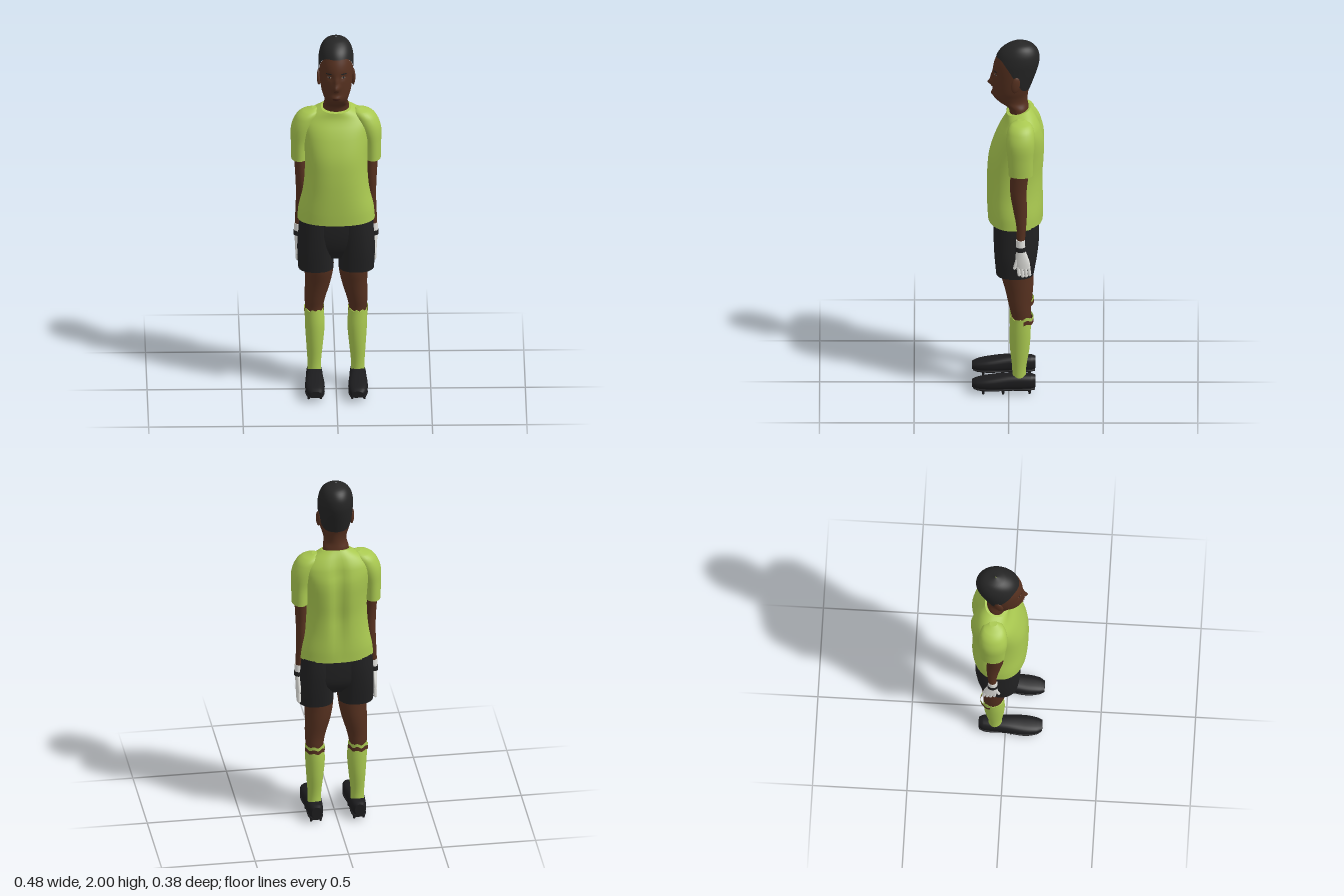
import * as THREE from 'three';

const mat = (name, color) => {
  const m = new THREE.MeshStandardMaterial({ color });
  m.name = name;
  return m;
};

// Smooth interpolation of rows [t, cx, cz, rx, rz] at t
function at(rows, t) {
  let i = 0;
  while (i < rows.length - 2 && t > rows[i + 1][0]) i++;
  const slope = (j, k) => {
    const p = rows[Math.max(j - 1, 0)], q = rows[Math.min(j + 1, rows.length - 1)];
    return (q[k] - p[k]) / (q[0] - p[0]);
  };
  const a = rows[i], b = rows[i + 1], h = b[0] - a[0];
  const s = Math.min(1, Math.max(0, (t - a[0]) / h)), s2 = s * s, s3 = s2 * s;
  return a.map((v, k) => k === 0 ? t :
    v * (2 * s3 - 3 * s2 + 1) + b[k] * (3 * s2 - 2 * s3) +
    h * (slope(i, k) * (s3 - 2 * s2 + s) + slope(i + 1, k) * (s3 - s2)));
}

// Point on a superellipse section; angle 0 faces the front
function ring(rows, t, angle, n = 2, grow = 0) {
  const [, cx, cz, rx, rz] = at(rows, t);
  const f = (v) => Math.sign(v) * Math.pow(Math.abs(v), 2 / n);
  return [cx + (Math.max(rx, 0) + grow) * f(Math.sin(angle)), t, cz + (Math.max(rz, 0) + grow) * f(Math.cos(angle))];
}

// Grid surface from fn(angle, v), v in 0..1; closed round or spanning a0..a1, with optional end caps
function surface(fn, vs, { a0 = 0, a1 = Math.PI * 2, nu = 28, caps = false } = {}) {
  const closed = a1 - a0 > 6.28, cols = closed ? nu : nu + 1, pos = [], idx = [];
  for (const v of vs) for (let i = 0; i < cols; i++) pos.push(...fn(a0 + (a1 - a0) * i / nu, v));
  for (let j = 0; j < vs.length - 1; j++) for (let i = 0; i < nu; i++) {
    const k = (i + 1) % cols, a = j * cols + i, b = j * cols + k;
    idx.push(a, b, b + cols, a, b + cols, a + cols);
  }
  if (caps) for (const j of [0, vs.length - 1]) {
    const base = pos.length / 3, c = [0, 0, 0];
    for (let i = 0; i < cols; i++) {
      const p = pos.slice((j * cols + i) * 3, (j * cols + i) * 3 + 3);
      pos.push(...p);
      p.forEach((x, k) => { c[k] += x / cols; });
    }
    pos.push(...c);
    for (let i = 0; i < cols; i++) {
      const p = base + i, q = base + (i + 1) % cols;
      idx.push(...(j ? [p, q, base + cols] : [q, p, base + cols]));
    }
  }
  const g = new THREE.BufferGeometry();
  g.setAttribute('position', new THREE.Float32BufferAttribute(pos, 3));
  g.setIndex(idx);
  g.computeVertexNormals();
  return g;
}

const steps = (a, b, n) => Array.from({ length: n + 1 }, (_, i) => a + (b - a) * i / n);

function loft(rows, { n = 2, per = 4, warp = (p) => p, nu = 28, caps = true } = {}) {
  const vs = [rows[0][0]];
  for (let i = 1; i < rows.length; i++) vs.push(...steps(rows[i - 1][0], rows[i][0], per).slice(1));
  return surface((a, t) => warp(ring(rows, t, a, n)), vs, { nu, caps });
}

// Row from half width, front z and back z
const fb = ([y, hw, zf, zb]) => [y, 0, (zf + zb) / 2, hw, (zf - zb) / 2];

export function createModel() {
  const lime = mat('lime cloth', 0xa9c850), skin = mat('skin', 0x55301f), hairMat = mat('hair', 0x252525);
  const black = mat('black cloth', 0x212122), boot = mat('boot black', 0x1c1c1e), white = mat('glove white', 0xe2e2de);
  const lip = mat('lip', 0x432218), eyeWhite = mat('eye white', 0x9a8478);
  for (const m of [lime, skin]) m.side = THREE.DoubleSide;

  const model = new THREE.Group();
  model.name = 'footballer';
  const add = (name, geo, material, parent = model) => {
    const m = new THREE.Mesh(geo, material);
    m.name = name;
    parent.add(m);
    return m;
  };

  // Head, with a bump for nose, lips and chin and a dip for the eye sockets
  const headRows = [
    [1.53, .075, -.005, -.115], [1.62, .068, .004, -.105], [1.655, .06, .055, -.1], [1.685, .066, .082, -.1],
    [1.72, .077, .084, -.106], [1.78, .086, .085, -.128], [1.85, .091, .083, -.152], [1.9, .091, .07, -.162],
    [1.95, .079, .043, -.153], [1.985, .05, -.005, -.118], [2.0, .002, -.055, -.06]].map(fb);
  const bump = (x, y, cx, cy, sx, sy) => Math.exp(-(((x - cx) / sx) ** 2) - ((y - cy) / sy) ** 2);
  const headPoint = (a, y, grow = 0) => {
    const p = ring(headRows, y, a, 2, grow);
    if (Math.cos(a) > 0) {
      const x = Math.abs(p[0]);
      p[2] += .026 * bump(x, y, 0, 1.762, .015, .017) + .012 * bump(x, y, 0, 1.795, .01, .025)
        + .009 * bump(x, y, 0, 1.703, .025, .012) - .008 * bump(x, y, .036, 1.82, .018, .015);
    }
    return p;
  };
  const line = [[0, 1.915], [.7, 1.912], [1.2, 1.87], [1.55, 1.82], [1.8, 1.785], [2.2, 1.74], [3.15, 1.73]];
  const hairline = (a) => at(line, Math.PI - Math.abs(Math.PI - a))[1];
  add('face and neck', surface((a, v) => headPoint(a, 1.53 + v * (hairline(a) - 1.53)), steps(0, 1, 44), { nu: 64 }), skin);
  add('hair', surface((a, v) => headPoint(a, hairline(a) + v * (2 - hairline(a)), .002 * (1 - v)),
    steps(0, 1, 24).map((v) => Math.sin(v * Math.PI / 2)), { nu: 64 }), hairMat);

  // Painted face details follow the head surface
  const patch = (name, a, da, y, dy, material, grow) => add(name, surface((u, v) => {
    const e = Math.sqrt(Math.max(0, 1 - ((u - a) / da) ** 2));
    return headPoint(u, y + v * dy * e, grow);
  }, [-1, 0, 1], { a0: a - da, a1: a + da, nu: 10 }), material);
  patch('mouth', 0, .3, 1.7, .006, lip, .002);
  for (const s of [1, -1]) {
    patch('eye', s * .42, .13, 1.82, .005, eyeWhite, .002);
    patch('pupil', s * .42, .06, 1.82, .005, hairMat, .003);
    patch('eyebrow', s * .45, .2, 1.84, .004, hairMat, .002);
    patch('nostril', s * .1, .05, 1.745, .003, lip, .002);
    const ear = add('ear', new THREE.SphereGeometry(1, 14, 10), skin);
    ear.scale.set(.011, .046, .024);
    ear.position.set(s * .09, 1.782, -.036);
    ear.rotation.set(-.15, s * .25, 0);
  }

  // Shirt body with a spine groove and a collar that dips at the front
  const shirtRows = [
    [.98, .205, .11, -.18], [1.05, .198, .114, -.184], [1.15, .177, .116, -.184], [1.25, .167, .114, -.185],
    [1.35, .168, .104, -.192], [1.45, .178, .072, -.192], [1.52, .18, .038, -.174], [1.565, .145, .018, -.148],
    [1.605, .08, .012, -.116]].map(fb);
  add('shirt', loft(shirtRows, {
    n: 2.3, nu: 56, warp: ([x, y, z]) => {
      const top = Math.max(0, (y - 1.5) / .1);
      const back = z < -.1 ? Math.min(1, (y - .98) * 4) * (1 - top * .9) : 0;
      return [x, y - .25 * top * (z + .06), z + .024 * back * Math.exp(-((x / .035) ** 2))];
    },
  }), lime);

  // Shorts seat
  add('shorts seat', loft([[.76, .1, .03, -.1], [.82, .18, .06, -.145], [.9, .193, .076, -.158], [1.0, .193, .078, -.16]].map(fb), { n: 2.5 }), black);

  for (const s of [1, -1]) {
    const side = new THREE.Group();
    side.name = s > 0 ? 'left limbs' : 'right limbs';
    model.add(side);
    const part = (name, rows, material, opts) =>
      add(name, loft(rows.map(([y, x, ...r]) => [y, s * x, ...r]), opts), material, side);

    // Arm
    part('sleeve', [[1.305, .194, -.064, .043, .064], [1.4, .192, -.062, .047, .068], [1.48, .179, -.062, .06, .076],
      [1.54, .158, -.063, .06, .072], [1.575, .135, -.064, .05, .055], [1.593, .115, -.065, .015, .02]], lime);
    part('arm', [[.91, .2, -.064, .019, .02], [1.0, .192, -.065, .023, .027], [1.1, .183, -.06, .029, .037],
      [1.2, .184, -.051, .031, .043], [1.34, .19, -.06, .034, .05]], skin);

    // Glove
    part('glove cuff', [[.875, .201, -.063, .021, .025], [.93, .2, -.062, .021, .024]], white);
    part('wrist strap', [[.865, .202, -.063, .023, .028], [.89, .201, -.063, .023, .028]], black);
    part('glove palm', [[.765, .204, -.079, .011, .036], [.8, .203, -.073, .014, .038], [.85, .202, -.066, .017, .029], [.87, .202, -.064, .018, .024]], white);
    const finger = (name, z, y, len, tilt) => {
      const f = add(name, new THREE.CapsuleGeometry(.009, len, 4, 8), white, side);
      f.position.set(s * .204, y, z);
      f.rotation.x = tilt;
    };
    [.04, .05, .052, .042].forEach((len, i) => finger('glove finger', -.108 + i * .0185, .758 - len / 4, len, .12));
    finger('glove thumb', -.037, .79, .05, -.25);

    // Shorts leg, thigh and knee
    part('shorts leg', [[.695, .107, -.033, .094, .1], [.8, .109, -.037, .097, .113], [.9, .105, -.04, .095, .12], [.985, .1, -.04, .094, .12]], black, { n: 2.4 });
    part('leg', [[.36, .115, -.06, .046, .048], [.44, .116, -.066, .047, .051], [.5, .112, -.06, .054, .058],
      [.6, .097, -.054, .068, .075], [.69, .09, -.042, .077, .088], [.76, .094, -.04, .08, .09]], skin);

    // Sock, with a ragged fold of cloth behind the knee
    part('sock', [[.07, .115, -.055, .036, .037], [.14, .115, -.055, .036, .037], [.25, .113, -.058, .045, .051],
      [.35, .112, -.06, .052, .056], [.44, .116, -.063, .05, .053]], lime,
    { warp: ([x, y, z]) => [x, y + (y > .43 ? .006 * Math.sin(x * 190) : 0), z] });
    const fold = (name, y, h, material) => add(name, surface((a, v) =>
      [s * .116 + .054 * Math.sin(a), y + h * v + (v ? .005 : .004) * Math.sin(a * 7), -.07 + .062 * Math.cos(a)],
    [0, 1], { a0: 1.7, a1: 4.58, nu: 24 }), material, side);
    fold('skin gap', .41, .022, skin);
    fold('sock fold', .432, .018, lime);

    // Boot lofted from heel to toe, sole plate and studs
    const shoe = (name, rows, n) => part(name, rows, boot, { n }).geometry.rotateX(Math.PI / 2);
    shoe('boot', [[-.142, .115, -.063, .025, .032], [-.115, .115, -.063, .038, .04], [0, .115, -.062, .046, .042],
      [.1, .114, -.056, .052, .034], [.165, .113, -.051, .044, .026], [.195, .11, -.048, .03, .017]], 2.6);
    shoe('sole', [[-.138, .115, -.026, .026, .006], [-.1, .115, -.026, .04, .006], [0, .115, -.026, .04, .006],
      [.1, .114, -.026, .052, .006], [.165, .113, -.028, .042, .006], [.19, .11, -.033, .03, .005]], 4);
    for (const [z, w] of [[-.11, .025], [.03, .032], [.135, .032]]) for (const d of [-w, w]) {
      const stud = add('stud', new THREE.CylinderGeometry(.009, .006, .026, 8), boot, side);
      stud.position.set(s * .115 + d, .013, z);
    }
  }
  return model;
}
